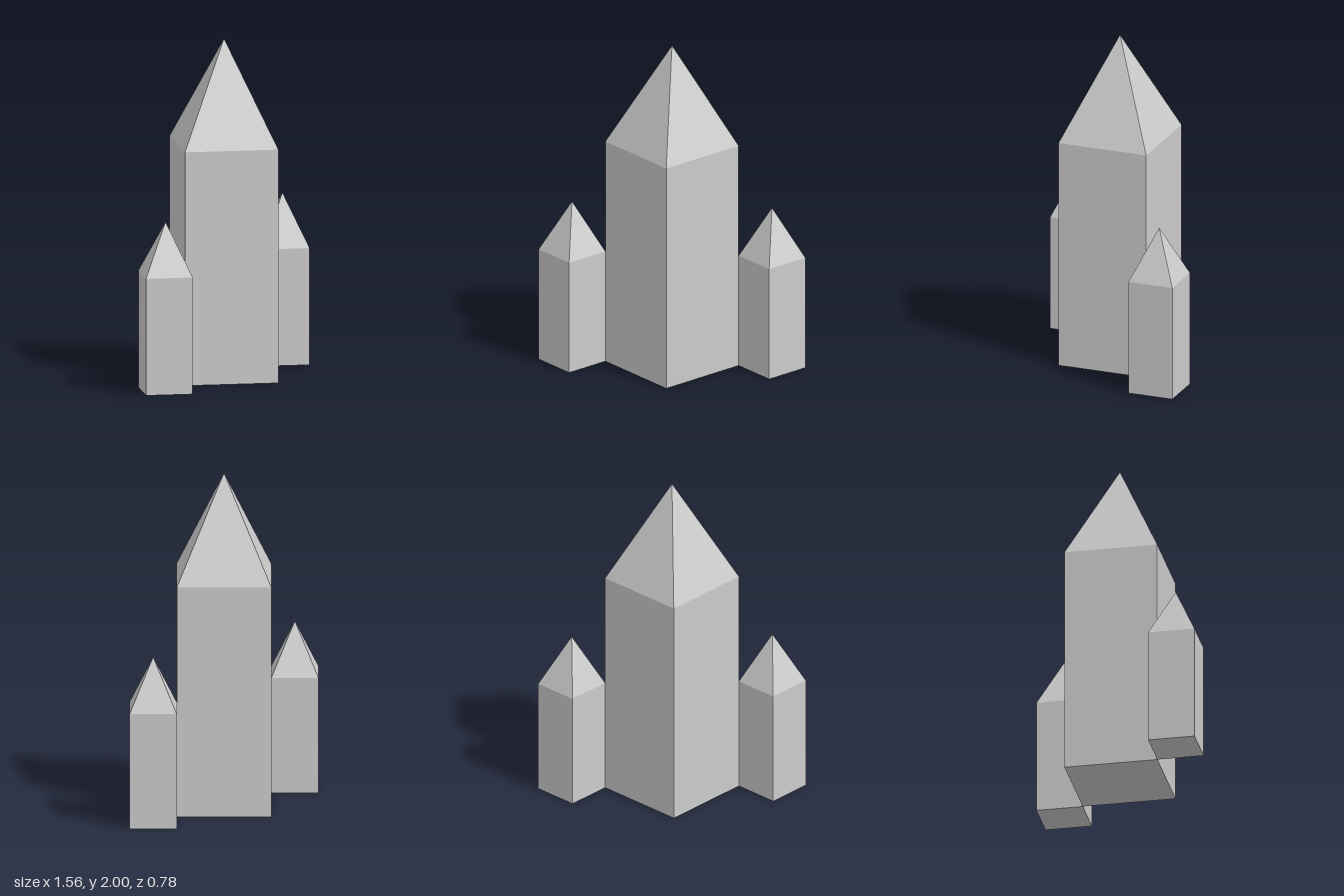
import * as THREE from 'three';

const material = new THREE.MeshStandardMaterial({ color: 0xcccccc, flatShading: true });

// Square tower turned corner-forward, with a pyramid roof
function createTower(name, radius, wallHeight, roofHeight) {
  const tower = new THREE.Group();
  tower.name = name;

  const walls = new THREE.Mesh(new THREE.CylinderGeometry(radius, radius, wallHeight, 4), material);
  walls.name = name + 'Walls';
  walls.position.y = wallHeight / 2;

  const roof = new THREE.Mesh(new THREE.ConeGeometry(radius, roofHeight, 4), material);
  roof.name = name + 'Roof';
  roof.position.y = wallHeight + roofHeight / 2;

  tower.add(walls, roof);
  return tower;
}

export function createModel() {
  const model = new THREE.Group();
  model.name = 'castle';

  const R = 0.39;
  model.add(createTower('mainTower', R, 1.383, 0.617));

  // Half-size side towers touching the main tower's corners
  for (const [name, side] of [['leftTower', 1], ['rightTower', -1]]) {
    const tower = createTower(name, R / 2, 0.6915, 0.3085);
    tower.position.x = side * R * 1.5;
    model.add(tower);
  }
  return model;
}
